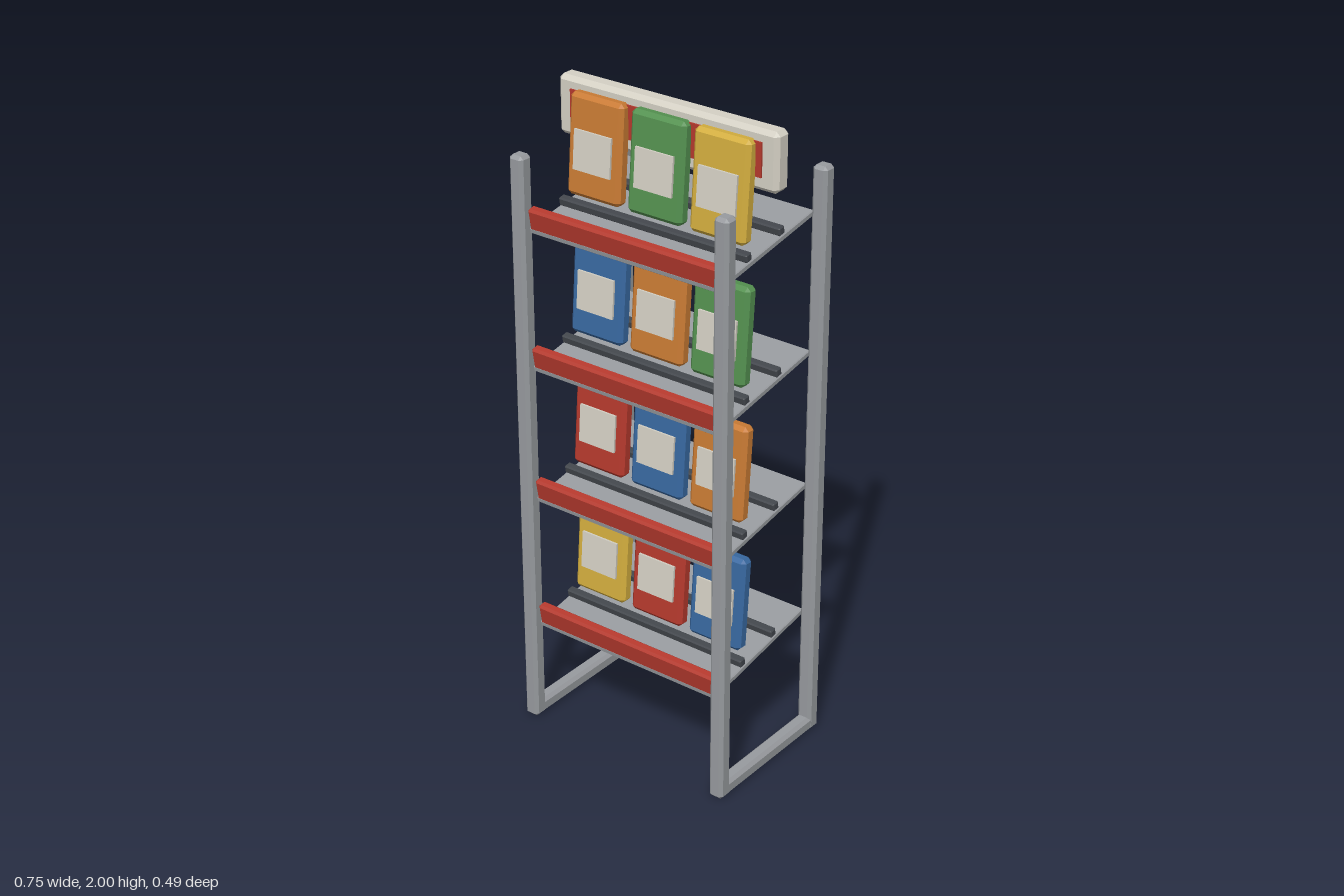
import * as THREE from 'three';
import { ConvexGeometry } from 'three/addons/geometries/ConvexGeometry.js';

const material = (name, color) => {
  const m = new THREE.MeshStandardMaterial({ color });
  m.name = name;
  return m;
};

// Box with every edge chamfered by c
function chamferBox(w, h, d, c) {
  const points = [];
  for (const x of [-1, 1]) for (const y of [-1, 1]) for (const z of [-1, 1]) {
    const [X, Y, Z] = [w / 2, h / 2, d / 2];
    points.push(
      new THREE.Vector3(x * X, y * (Y - c), z * (Z - c)),
      new THREE.Vector3(x * (X - c), y * Y, z * (Z - c)),
      new THREE.Vector3(x * (X - c), y * (Y - c), z * Z));
  }
  return new ConvexGeometry(points);
}

function add(parent, name, geometry, mat, x, y, z) {
  const mesh = new THREE.Mesh(geometry, mat);
  mesh.name = name;
  mesh.position.set(x, y, z);
  parent.add(mesh);
  return mesh;
}

export function createModel() {
  const model = new THREE.Group();
  model.name = 'displayRack';

  const steel = material('steel grey', 0x979a9e);
  const dark = material('dark rubber', 0x42464c);
  const cream = material('cream', 0xd4d0c4);
  const red = material('red', 0xb5392d);
  const orange = material('orange', 0xc97b34);
  const green = material('green', 0x549150);
  const yellow = material('yellow', 0xd2ad3e);
  const blue = material('blue', 0x3868a0);

  // Side frames: two posts and a foot rail on each side
  const postGeo = chamferBox(0.048, 1.83, 0.048, 0.01);
  const footGeo = chamferBox(0.046, 0.046, 0.47, 0.01);
  for (const x of [-0.349, 0.349]) {
    const frame = new THREE.Group();
    frame.name = x > 0 ? 'leftFrame' : 'rightFrame';
    add(frame, 'frontPost', postGeo, steel, x, 0.915, 0.223);
    add(frame, 'backPost', postGeo, steel, x, 0.915, -0.223);
    add(frame, 'footRail', footGeo, steel, x, 0.023, 0);
    model.add(frame);
  }

  // Sloping shelves, each with a front lip, two rails and three packs
  const shelfGeo = chamferBox(0.65, 0.018, 0.445, 0.003);
  const lipGeo = chamferBox(0.65, 0.077, 0.031, 0.007);
  const railGeo = chamferBox(0.65, 0.026, 0.025, 0.004);
  const packGeo = chamferBox(0.186, 0.296, 0.046, 0.012);
  const labelGeo = new THREE.BoxGeometry(0.13, 0.117, 0.008);
  const rows = [
    [yellow, red, blue],
    [red, blue, orange],
    [blue, orange, green],
    [orange, green, yellow],
  ];
  rows.forEach((colours, i) => {
    const y = 0.365 + i * 0.4267;
    const shelf = new THREE.Group();
    shelf.name = 'shelf' + (i + 1);
    shelf.position.y = y;
    shelf.rotation.x = THREE.MathUtils.degToRad(9.8);
    add(shelf, 'shelfPanel', shelfGeo, steel, 0, 0, 0);
    add(shelf, 'frontLip', lipGeo, red, 0, 0.0295, 0.2065);
    add(shelf, 'frontRail', railGeo, dark, 0, 0.022, 0.078);
    add(shelf, 'backRail', railGeo, dark, 0, 0.022, -0.074);
    model.add(shelf);

    colours.forEach((colour, j) => {
      const pack = new THREE.Group();
      pack.name = 'pack';
      pack.position.set((j - 1) * 0.213, y + 0.179, i === 3 ? 0.05 : 0.045);
      pack.rotation.x = THREE.MathUtils.degToRad(-4.5);
      add(pack, 'packBody', packGeo, colour, 0, 0, 0);
      add(pack, 'packLabel', labelGeo, cream, 0, -0.01, 0.026);
      model.add(pack);
    });
  });

  // Header board with a red panel on both faces
  const header = new THREE.Group();
  header.name = 'header';
  header.position.set(0, 1.9125, 0);
  add(header, 'headerBoard', chamferBox(0.746, 0.175, 0.06, 0.013), cream, 0, 0, 0);
  const panelGeo = new THREE.BoxGeometry(0.65, 0.1, 0.008);
  for (const s of [-1, 1]) {
    add(header, s > 0 ? 'frontPanel' : 'backPanel', panelGeo, red, 0, 0.004, s * 0.031);
  }
  model.add(header);

  return model;
}
